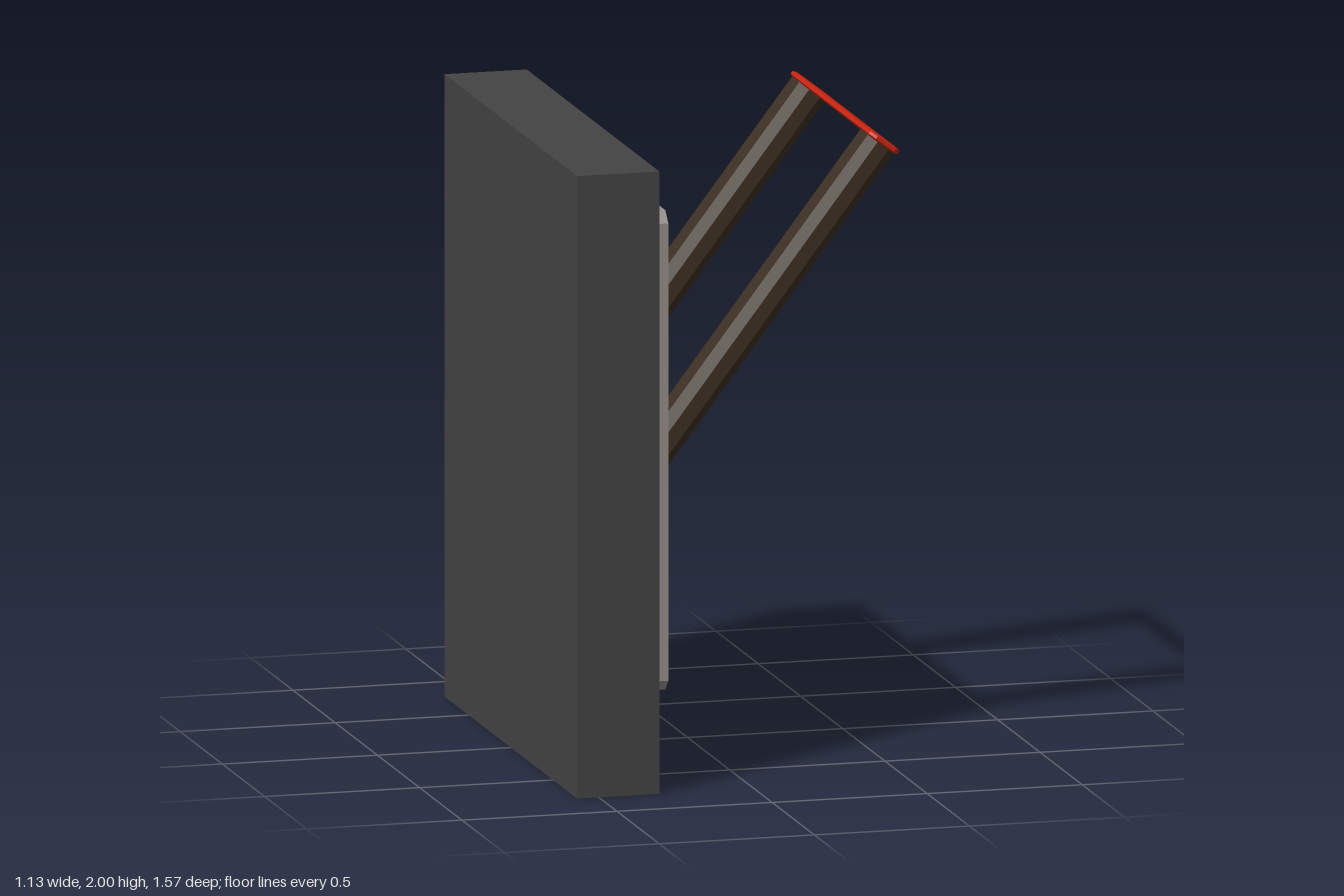
import * as THREE from 'three';

const material = (color) => new THREE.MeshStandardMaterial({ color, flatShading: true });

// Rectangle with cut corners, centred on (cx, cy)
function cutRect(Type, w, h, cut, cx = 0, cy = 0) {
  const a = w / 2, b = h / 2;
  return new Type([
    [a - cut, -b], [a, -b + cut], [a, b - cut], [a - cut, b],
    [-a + cut, b], [-a, b - cut], [-a, -b + cut], [-a + cut, -b],
  ].map(([x, y]) => new THREE.Vector2(cx + x, cy + y)));
}

export function createModel() {
  const group = new THREE.Group();
  group.name = 'wallLever';
  const add = (name, geometry, mat, x = 0, y = 0, z = 0) => {
    const mesh = new THREE.Mesh(geometry, mat);
    mesh.name = name;
    mesh.position.set(x, y, z);
    group.add(mesh);
    return mesh;
  };
  const slate = material(0x444444);
  const stone = material(0x98908c);
  const wood = material(0x3d2f22);
  const red = material(0xd02510);

  // Wall block
  add('wallBlock', new THREE.BoxGeometry(0.265, 1.98, 1.57), slate, -0.4375, 0.99, 0);

  // Mounting plate with a rectangular recess and its floor
  const outline = cutRect(THREE.Shape, 1.25, 1.525, 0.035);
  outline.holes.push(cutRect(THREE.Path, 0.575, 0.85, 0.008, -0.007, 0.002));
  const plate = new THREE.ExtrudeGeometry(outline, { depth: 0.075, bevelEnabled: false });
  plate.rotateY(Math.PI / 2);
  add('mountingPlate', plate, stone, -0.305, 1.048, -0.009);
  add('recessFloor', new THREE.BoxGeometry(0.02, 0.9, 0.62), stone, -0.307, 1.05, -0.003);

  // Lever frame: local x runs along z, local z runs up the slope
  const angle = 0.92;
  const c = Math.cos(angle), s = Math.sin(angle);
  const tilt = new THREE.Matrix4().makeBasis(
    new THREE.Vector3(0, 0, 1), new THREE.Vector3(s, -c, 0), new THREE.Vector3(c, s, 0));
  const top = new THREE.Vector3(0.51, 1.957, 0);

  // Two sloping arms with chamfered edges
  const length = 0.79 / c;
  const arm = new THREE.ExtrudeGeometry(cutRect(THREE.Shape, 0.147, 0.104, 0.03),
    { depth: length, bevelEnabled: false });
  arm.translate(0, 0, -length).applyMatrix4(tilt);
  add('leftArm', arm, wood, top.x, top.y, -0.42);
  add('rightArm', arm, wood, top.x, top.y, 0.39);

  // Thin bevelled handle across the arm tips
  const handle = new THREE.ExtrudeGeometry(cutRect(THREE.Shape, 0.946, 0.096, 0.016),
    { depth: 0.01, bevelThickness: 0.005, bevelSize: 0.011, bevelSegments: 1 });
  handle.translate(0, 0, -0.005).applyMatrix4(tilt);
  add('handle', handle, red, top.x, top.y, -0.009);

  return group;
}
